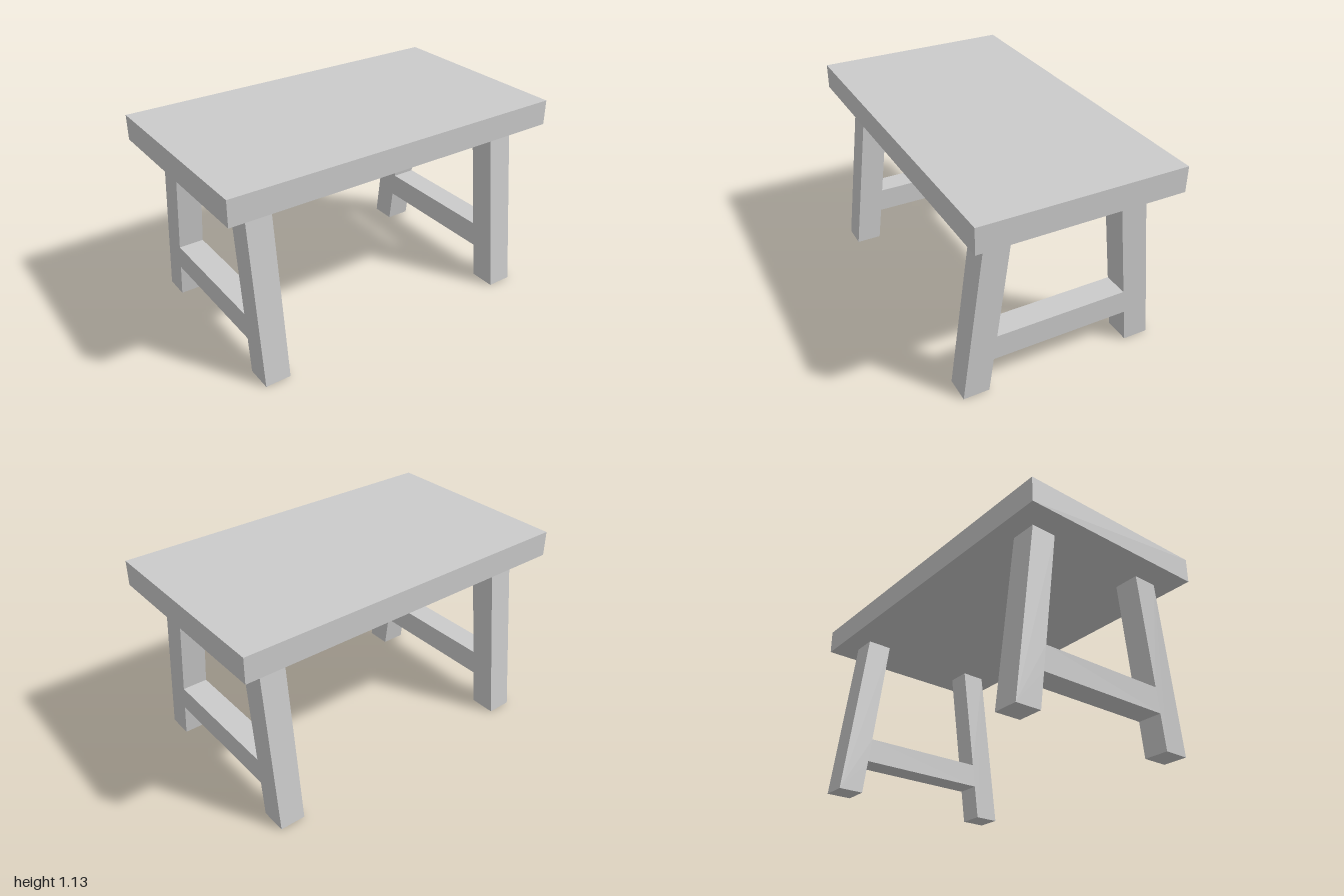
import * as THREE from 'three';

const TOP_Y = 0.99, TOP_THICK = 0.143, TOP_DEPTH = 1.143;
const LEG = 0.145, FRAME_X = 0.785;
const RAIL_LOW = 0.2, RAIL_HIGH = 0.343;

// inner edge of a splayed leg at height y
const innerZ = (y) => THREE.MathUtils.lerp(0.424, 0.3, y / TOP_Y);

// A-shaped end frame: two splayed legs joined by a flush rail
function frameGeometry() {
  const half = [
    [innerZ(RAIL_LOW), RAIL_LOW],
    [innerZ(0), 0],
    [innerZ(0) + 0.147, 0],
    [innerZ(TOP_Y) + 0.147, TOP_Y],
    [innerZ(TOP_Y), TOP_Y],
    [innerZ(RAIL_HIGH), RAIL_HIGH],
  ];
  const mirrored = half.map(([z, y]) => [-z, y]).reverse();
  const shape = new THREE.Shape([...half, ...mirrored].map(([z, y]) => new THREE.Vector2(z, y)));
  return new THREE.ExtrudeGeometry(shape, { depth: LEG, bevelEnabled: false })
    .translate(0, 0, -LEG / 2)
    .rotateY(Math.PI / 2);
}

export function createModel() {
  const group = new THREE.Group();
  group.name = 'table';
  const material = new THREE.MeshStandardMaterial({ color: 0xcccccc, flatShading: true });

  // table top slab
  const top = new THREE.Mesh(new THREE.BoxGeometry(2, TOP_THICK, TOP_DEPTH), material);
  top.name = 'tableTop';
  top.position.y = TOP_Y + TOP_THICK / 2;
  group.add(top);

  // end frames
  const geometry = frameGeometry();
  for (const [name, side] of [['leftLegFrame', 1], ['rightLegFrame', -1]]) {
    const frame = new THREE.Mesh(geometry, material);
    frame.name = name;
    frame.position.x = side * FRAME_X;
    group.add(frame);
  }
  return group;
}
